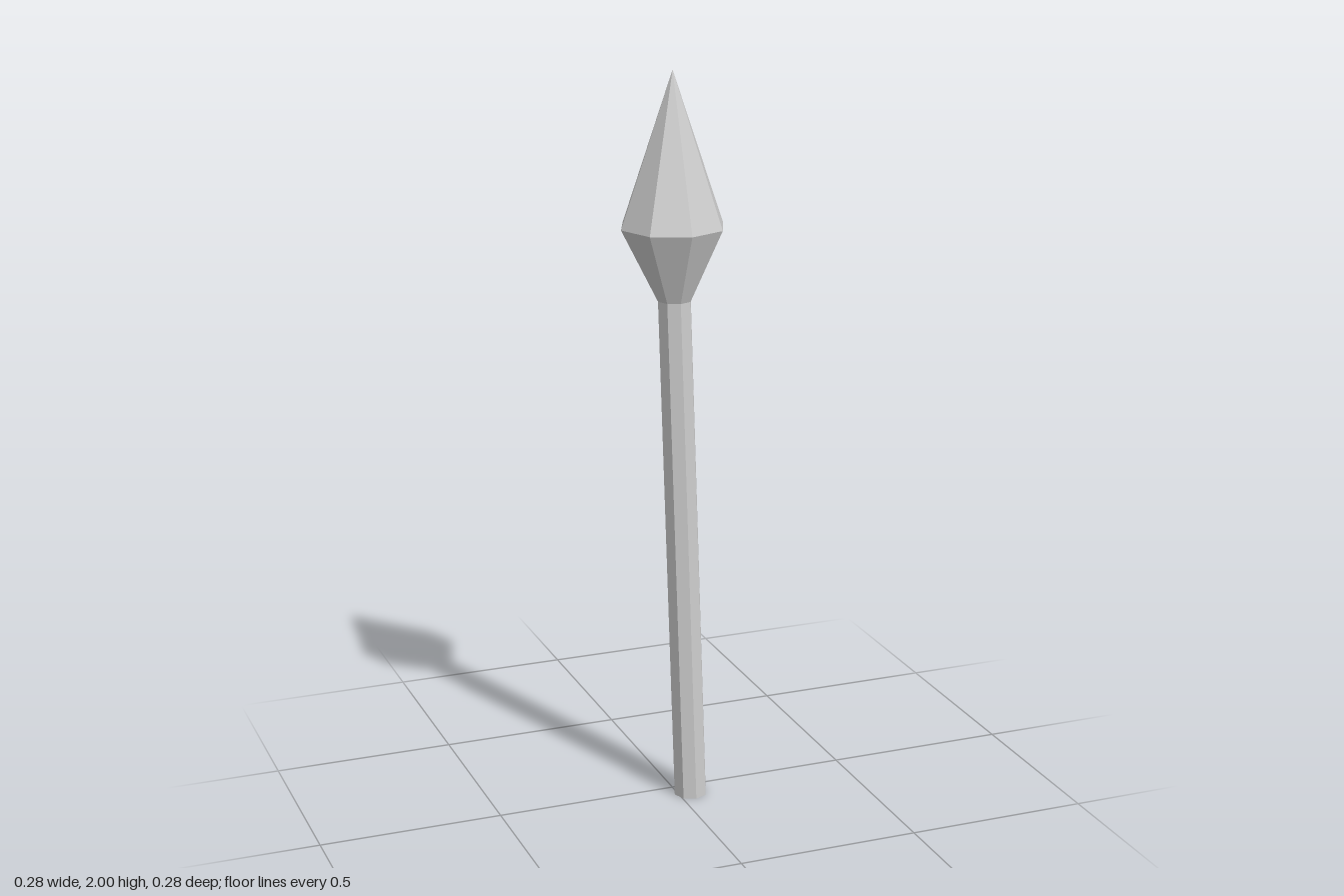
import * as THREE from 'three';

const SIDES = 8;
const material = new THREE.MeshStandardMaterial({ color: 0xcccccc, flatShading: true });

// Cross-sections from foot to tip; the axis leans slightly
const foot = { x: 0.035, y: 0, z: 0.047, r: 0.046 };
const neck = { x: 0, y: 1.399, z: 0.015, r: 0.046 };
const shoulder = { x: 0, y: 1.593, z: 0, r: 0.142 };
const tip = { x: 0.002, y: 2, z: -0.004, r: 0 };

// Octagonal segment between two sections, sheared so both ends stay level
function segment(name, a, b, open) {
  const height = b.y - a.y;
  const geometry = new THREE.CylinderGeometry(b.r, a.r, height, SIDES, 1, open);
  geometry.applyMatrix4(new THREE.Matrix4().set(
    1, (b.x - a.x) / height, 0, (a.x + b.x) / 2,
    0, 1, 0, (a.y + b.y) / 2,
    0, (b.z - a.z) / height, 1, (a.z + b.z) / 2,
    0, 0, 0, 1,
  ));
  geometry.computeVertexNormals();
  const mesh = new THREE.Mesh(geometry, material);
  mesh.name = name;
  return mesh;
}

export function createModel() {
  const spear = new THREE.Group();
  spear.name = 'spear';

  const head = new THREE.Group();
  head.name = 'spearhead';
  head.add(
    segment('headBase', neck, shoulder, true),
    segment('headPoint', shoulder, tip, true),
  );

  spear.add(segment('shaft', foot, neck, false), head);
  return spear;
}
